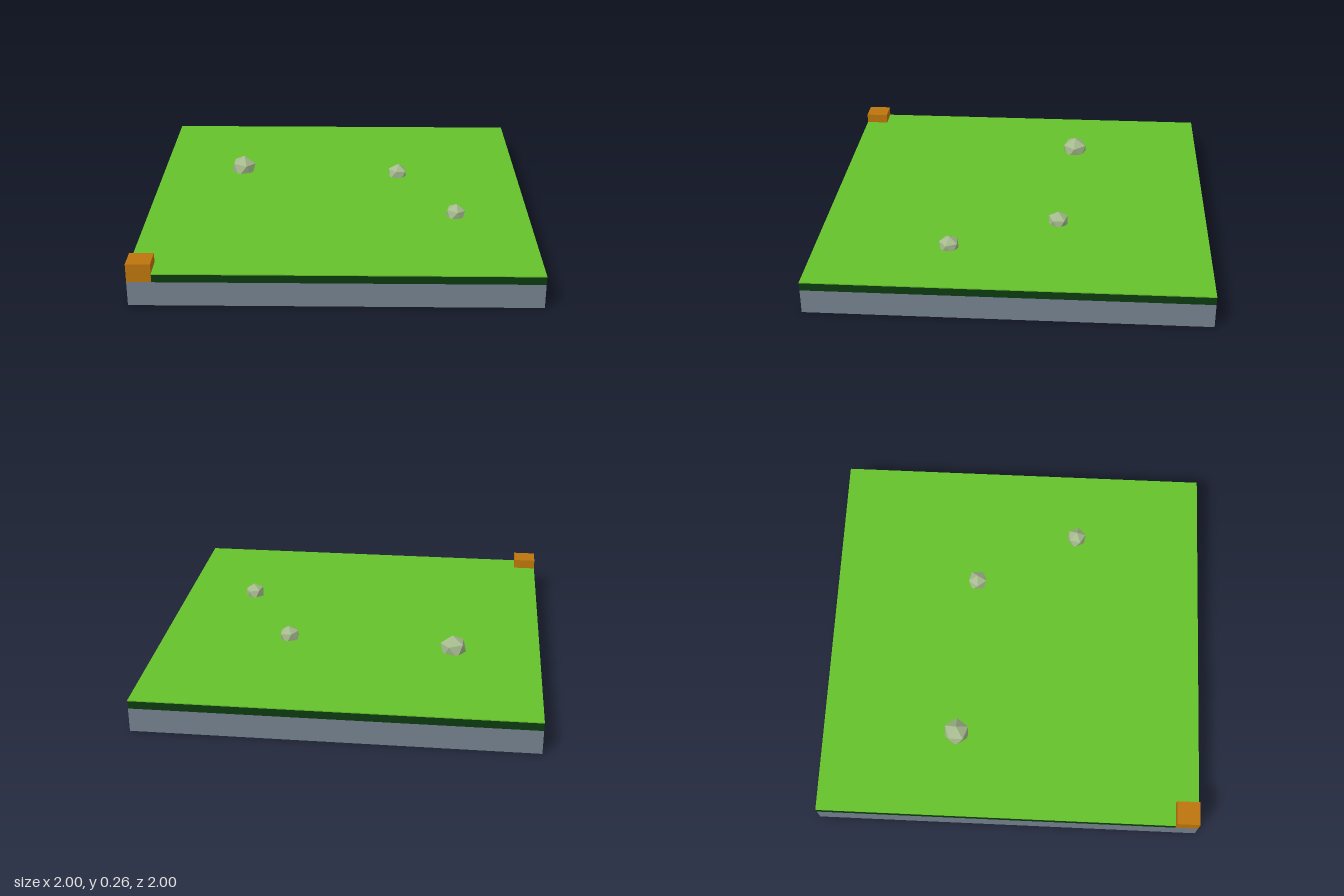
import * as THREE from 'three';

const paint = (name, color) => {
  const m = new THREE.MeshStandardMaterial({ color });
  m.name = name;
  return m;
};

export function createModel() {
  const slate = paint('slate', 0x74818d);
  const darkGreen = paint('darkGreen', 0x0c3a10);
  const grassGreen = paint('grassGreen', 0x66c22b);
  const orange = paint('orange', 0xbd750c);
  const stone = paint('stone', 0xa6ba8e);

  const model = new THREE.Group();
  model.name = 'grassTile';
  const add = (name, geometry, material, x = 0, y = 0, z = 0) => {
    const mesh = new THREE.Mesh(geometry, material);
    mesh.name = name;
    mesh.position.set(x, y, z);
    model.add(mesh);
    return mesh;
  };

  // Stone base slab
  add('base', new THREE.BoxGeometry(2, 0.125, 2), slate, 0, 0.0625, 0);

  // Turf layers, notched at the front right corner to seat the block
  const outline = new THREE.Shape(
    [[-0.88, -1], [1, -1], [1, 1], [-1, 1], [-1, -0.88], [-0.88, -0.88]]
      .map(([x, y]) => new THREE.Vector2(x, y)));
  const layer = (depth) =>
    new THREE.ExtrudeGeometry(outline, { depth, bevelEnabled: false }).rotateX(-Math.PI / 2);
  add('turfEdge', layer(0.04), darkGreen, 0, 0.125, 0);
  add('grassTop', layer(0.005), grassGreen, 0, 0.165, 0);

  // Corner block
  add('cornerBlock', new THREE.BoxGeometry(0.12, 0.095, 0.12), orange, -0.94, 0.1725, 0.94);

  // Half-buried rocks: icosahedra turned to stand on a point, then tilted a little
  const rocks = [
    { x: -0.55, y: 0.184, z: -0.29, r: 0.073, turn: 0.3 },
    { x: 0.328, y: 0.181, z: -0.226, r: 0.057, turn: 1.0 },
    { x: 0.615, y: 0.181, z: 0.317, r: 0.056, turn: 0.1 },
  ];
  rocks.forEach(({ x, y, z, r, turn }, i) => {
    const geometry = new THREE.IcosahedronGeometry(r, 0)
      .rotateX(-Math.atan((1 + Math.sqrt(5)) / 2))
      .rotateY(turn)
      .rotateZ(-0.1);
    add(`rock${i + 1}`, geometry, stone, x, y, z);
  });

  return model;
}
